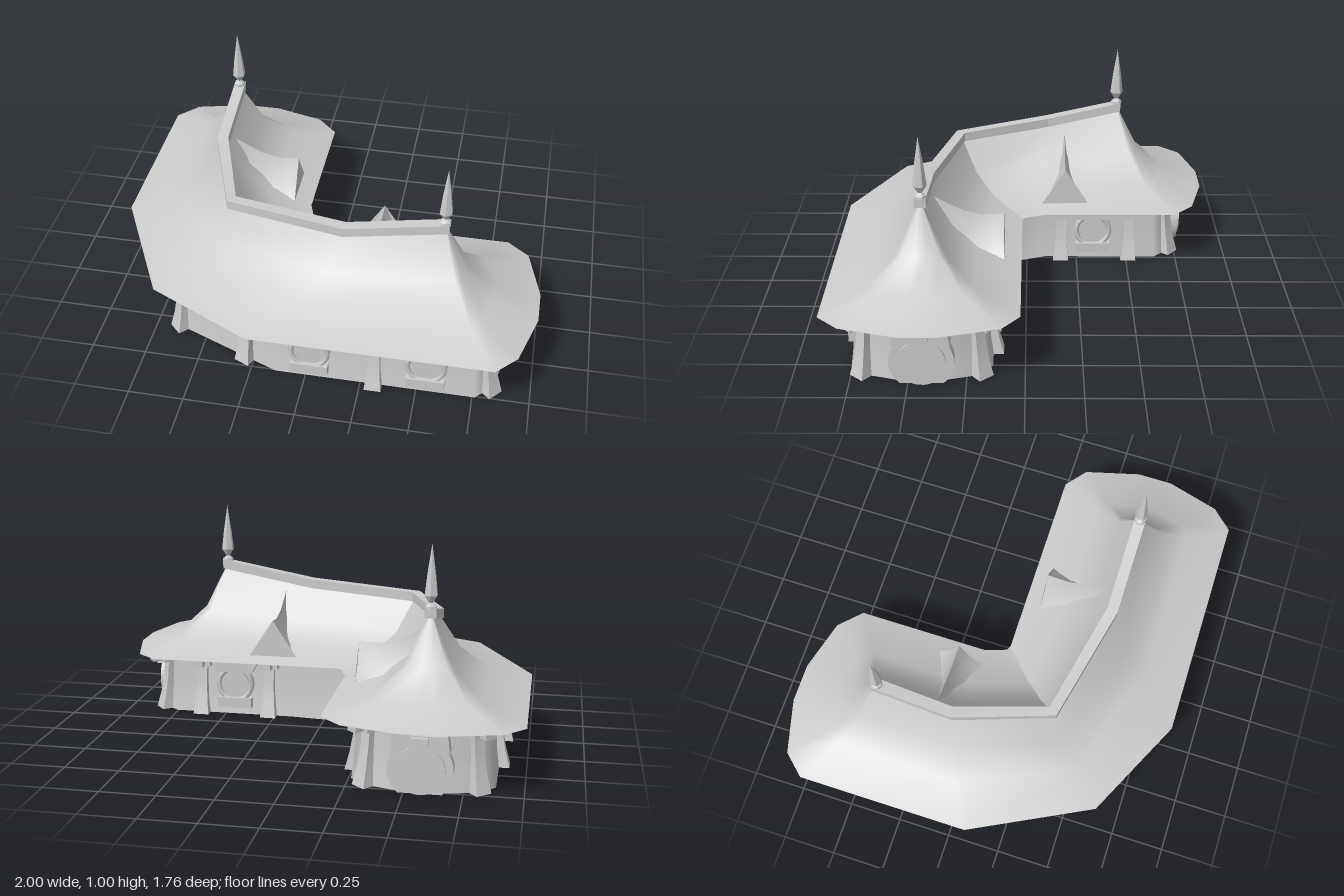
import * as THREE from 'three';
import { toCreasedNormals } from 'three/addons/utils/BufferGeometryUtils.js';

const grey = new THREE.MeshStandardMaterial({ color: 0xcccccc });
const thin = new THREE.MeshStandardMaterial({ color: 0xcccccc, side: THREE.DoubleSide });

// Ridge line: x, y, z
const RIDGE = [[-0.57, 0.69, -0.45], [-0.57, 0.605, -0.1], [-0.42, 0.585, 0.33], [0.12, 0.605, 0.45], [0.56, 0.69, 0.45]];
// Eave outline: x, z and the ridge point that the slope climbs to
const EAVE = [
  [-1, -0.72, 0], [-0.91, -0.82, 0], [-0.66, -0.885, 0], [-0.48, -0.885, 0], [-0.24, -0.82, 0], [-0.14, -0.72, 0],
  [-0.14, -0.09, 1], [-0.105, 0.01, 2], [-0.08, 0.02, 2], [0.2, 0.02, 3], [0.83, 0.02, 4],
  [0.93, 0.1, 4], [1, 0.36, 4], [1, 0.53, 4], [0.93, 0.78, 4], [0.84, 0.875, 4],
  [-0.24, 0.875, 3], [-0.72, 0.64, 2], [-1, 0.09, 1],
];
const EAVE_Y = 0.295;

// Skin a list of closed rings, with optional end caps
function loft(rings, capped = true, crease = 0.5) {
  const n = rings[0].length, index = [];
  for (let k = 0; k < rings.length - 1; k++) {
    for (let i = 0; i < n; i++) {
      const a = k * n + i, b = k * n + (i + 1) % n;
      index.push(a, a + n, b, b, a + n, b + n);
    }
  }
  if (capped) {
    const t = (rings.length - 1) * n;
    for (let i = 1; i < n - 1; i++) index.push(0, i, i + 1, t, t + i + 1, t + i);
  }
  const g = new THREE.BufferGeometry();
  g.setAttribute('position', new THREE.Float32BufferAttribute(rings.flat(2), 3));
  g.setIndex(index);
  g.computeVertexNormals();
  return crease ? toCreasedNormals(g, crease) : g;
}

function add(parent, name, geometry, material = grey, x = 0, y = 0, z = 0) {
  const m = new THREE.Mesh(geometry, material);
  m.name = name;
  m.position.set(x, y, z);
  parent.add(m);
  return m;
}

// Outline pulled a fraction f of the way from eave to ridge
const ring = (f, height) => EAVE.map(([x, z, r]) => {
  const [rx, ry, rz] = RIDGE[r];
  return [x + (rx - x) * f, height(ry), z + (rz - z) * f];
});

// Group standing on the ground at x, z and facing direction nx, nz
function facing(parent, name, x, z, nx, nz) {
  const g = new THREE.Group();
  g.name = name;
  g.position.set(x, 0, z);
  g.rotation.y = Math.atan2(nx, nz);
  parent.add(g);
  return g;
}

function extrude(points, depth) {
  const s = Array.isArray(points) ? new THREE.Shape(points.map(p => new THREE.Vector2(...p))) : points;
  return new THREE.ExtrudeGeometry(s, { depth, bevelEnabled: false, curveSegments: 20 });
}

// Flared post with a bracket block under the eave
function post(parent, x, z, nx, nz) {
  const g = facing(parent, 'post', x, z, nx, nz);
  const sections = [[0, 0.038, 0.055], [0.08, 0.029, 0.034], [0.17, 0.025, 0.018], [0.26, 0.027, 0.012]];
  add(g, 'postShaft', loft(sections.map(([y, w, d]) => [[-w, y, -0.04], [w, y, -0.04], [w, y, d], [-w, y, d]])));
  add(g, 'postCap', new THREE.BoxGeometry(0.1, 0.045, 0.09), grey, 0, 0.268, 0);
  add(g, 'bracket', new THREE.BoxGeometry(0.05, 0.035, 0.06), grey, 0, 0.268, 0.06);
}

// Round window between a lintel and a sill
function roundWindow(parent, x, z, nx, nz) {
  const g = facing(parent, 'window', x, z, nx, nz);
  const disc = new THREE.CylinderGeometry(0.092, 0.092, 0.07, 20).rotateX(Math.PI / 2);
  add(g, 'windowDisc', disc, grey, 0, 0.155, -0.015);
  add(g, 'windowRim', new THREE.TorusGeometry(0.082, 0.012, 6, 24), grey, 0, 0.155, 0.02);
  add(g, 'lintel', extrude([[-0.09, 0.22], [0.09, 0.22], [0.115, 0.268], [-0.115, 0.268]], 0.08), grey, 0, 0, -0.04);
  add(g, 'sill', new THREE.BoxGeometry(0.17, 0.05, 0.08), grey, 0, 0.065, 0);
}

// Round door cut off by the ground, with an arched lintel
function roundDoor(parent, x, z, nx, nz) {
  const g = facing(parent, 'door', x, z, nx, nz);
  const cut = (r, cy) => {
    const a = Math.asin(Math.min(1, cy / r));
    const s = new THREE.Shape();
    s.absarc(0, cy, r, -a, Math.PI + a, false);
    return s;
  };
  add(g, 'doorFrame', extrude(cut(0.14, 0.105), 0.09), grey, 0, 0, -0.07);
  add(g, 'doorPanel', extrude(cut(0.106, 0.105), 0.02), grey, 0, 0, 0.012);
  const s = new THREE.Shape();
  s.moveTo(-0.125, 0.19);
  s.quadraticCurveTo(0, 0.225, 0.125, 0.19);
  s.lineTo(0.115, 0.262);
  s.quadraticCurveTo(0, 0.25, -0.115, 0.27);
  add(g, 'doorLintel', extrude(s, 0.1), grey, 0, 0, -0.06);
  add(g, 'doorBoss', new THREE.BoxGeometry(0.07, 0.03, 0.03), grey, 0, 0.238, 0.045);
}

// Flared gable rising from the slope: distance from ridge, half width, top, foot
function dormer(parent, x, z, nx, nz) {
  const g = facing(parent, 'dormer', x, z, nx, nz);
  const sections = [[0.02, 0.004, 0.585, 0.54], [0.1, 0.028, 0.54, 0.43], [0.17, 0.048, 0.505, 0.365],
    [0.25, 0.075, 0.487, 0.33], [0.31, 0.1, 0.488, 0.315], [0.35, 0.118, 0.495, 0.312]];
  add(g, 'dormerRoof', loft(sections.map(([d, w, top, foot]) => {
    const my = foot + (top - foot) * 0.4, mw = w * 0.4;
    return [[0, top, d], [mw, my, d], [w, foot, d], [-w, foot, d], [-mw, my, d]];
  }), true, 0.7), thin);
}

// Capping beam along the ridge with mitred bends
function ridgeBeam() {
  const last = RIDGE.length - 1, w = 0.026;
  return loft(RIDGE.map(([x, y, z], i) => {
    const a = RIDGE[Math.max(0, i - 1)], b = RIDGE[Math.min(last, i + 1)];
    const dx = b[0] - a[0], dz = b[2] - a[2], l = Math.hypot(dx, dz);
    const e = i === 0 ? -0.02 : i === last ? 0.02 : 0;
    const px = x + dx / l * e, pz = z + dz / l * e, sx = dz / l * w, sz = -dx / l * w;
    const t = y + 0.032, u = y - 0.012;
    return [[px + sx, t, pz + sz], [px + sx, u, pz + sz], [px - sx, u, pz - sz], [px - sx, t, pz - sz]];
  }), true, 0.3);
}

export function createModel() {
  const model = new THREE.Group();
  model.name = 'cornerHouse';

  // Sweeping roof and its flat underside
  const slope = [[0, 0], [0.46, 0.165], [0.75, 0.47], [0.96, 0.95], [1, 1]];
  add(model, 'roof', loft(slope.map(([f, h]) => ring(f, r => EAVE_Y + (r - EAVE_Y) * h)), false, 0), thin);
  const outline = new THREE.Shape(EAVE.map(([x, z]) => new THREE.Vector2(x, z)));
  add(model, 'eaveUnderside', new THREE.ShapeGeometry(outline).rotateX(Math.PI / 2), thin, 0, EAVE_Y - 0.002, 0);
  add(model, 'ridgeBeam', ridgeBeam());

  // Flared walls
  const flare = [[0.28, 0], [0.305, 0.08], [0.32, 0.17], [0.325, 0.292]];
  add(model, 'walls', loft(flare.map(([f, y]) => ring(f, () => y)), false, 0), thin);

  // Ridge-end spires
  const profile = [[0, 0.715], [0.028, 0.715], [0.026, 0.728], [0.009, 0.742], [0.031, 0.775], [0.02, 0.87], [0, 1]];
  const spire = toCreasedNormals(new THREE.LatheGeometry(profile.map(p => new THREE.Vector2(...p)), 6), 0.3);
  for (const [x, , z] of [RIDGE[0], RIDGE[4]]) add(model, 'spire', spire, grey, x, 0, z);

  // Posts: x, z, outward direction
  const posts = [
    [0.81, 0.69, 0.75, 0.65], [0.81, 0.2, 0.75, -0.65], [-0.8, -0.7, -0.65, -0.75], [-0.34, -0.7, 0.65, -0.75],
    [0.31, 0.745, 0, 1], [-0.28, 0.685, -0.4, 0.9], [-0.62, 0.54, -0.7, 0.7], [-0.75, 0.28, -0.9, 0.45],
    [-0.87, 0, -1, 0.1], [-0.87, -0.36, -1, 0],
    [-0.27, -0.51, 1, 0], [-0.27, -0.17, 1, 0], [-0.2, 0.1, 0.7, -0.7], [0.28, 0.15, 0, -1], [0.62, 0.15, 0, -1],
  ];
  for (const p of posts) post(model, ...p);

  for (const w of [[0.02, 0.745, 0, 1], [0.54, 0.745, 0, 1], [-0.27, -0.33, 1, 0], [0.45, 0.15, 0, -1]]) roundWindow(model, ...w);
  for (const d of [[0.87, 0.44, 1, 0], [-0.57, -0.755, 0, -1]]) roundDoor(model, ...d);
  for (const d of [[-0.57, -0.19, 1, 0], [0.25, 0.45, 0, -1]]) dormer(model, ...d);
  return model;
}
